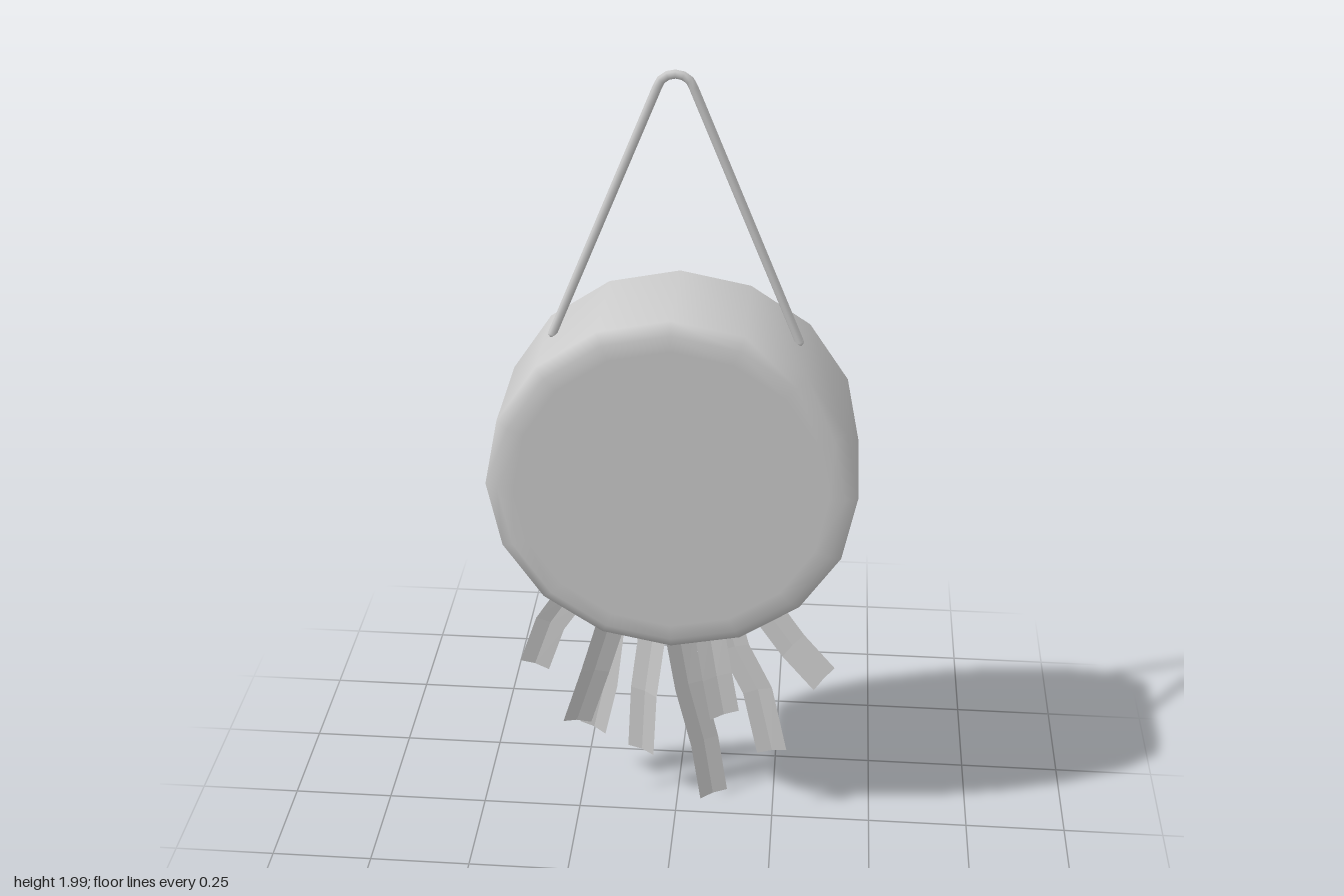
import * as THREE from 'three';

const material = new THREE.MeshStandardMaterial({ color: 0xcccccc });
const ribbonMaterial = new THREE.MeshStandardMaterial({
  color: 0xcccccc, flatShading: true, side: THREE.DoubleSide,
});

// Centre line from top to tip [x, y, z], and how far the +x edge leans in z
const RIBBONS = [
  { name: 'streamer1', lean: 0, path: [[-0.2, 0.74, -0.04], [-0.265, 0.63, -0.05], [-0.32, 0.54, -0.06], [-0.365, 0.405, -0.07]] },
  { name: 'streamer2', lean: 0.4, path: [[-0.13, 0.7, -0.06], [-0.17, 0.52, -0.08], [-0.19, 0.35, -0.09], [-0.225, 0.185, -0.11]] },
  { name: 'streamer3', lean: -0.4, path: [[-0.11, 0.7, -0.01], [-0.16, 0.59, 0.01], [-0.2, 0.45, 0.01], [-0.25, 0.285, 0]] },
  { name: 'streamer4', lean: 0.45, path: [[-0.02, 0.68, -0.04], [-0.06, 0.55, -0.05], [-0.085, 0.35, -0.05], [-0.095, 0.158, -0.06]] },
  { name: 'streamer5', lean: -0.45, path: [[0.01, 0.67, -0.05], [0.005, 0.53, -0.06], [0.03, 0.37, -0.06], [0.07, 0.19, -0.07], [0.095, 0.018, -0.07]] },
  { name: 'streamer6', lean: -0.35, path: [[0.04, 0.68, -0.03], [0.085, 0.56, -0.01], [0.105, 0.45, 0.01], [0.125, 0.345, 0.025]] },
  { name: 'streamer7', lean: 0.05, path: [[0.1, 0.69, -0.03], [0.145, 0.52, -0.02], [0.205, 0.4, -0.01], [0.245, 0.22, 0]] },
  { name: 'streamer8', lean: -0.5, path: [[0.17, 0.72, -0.06], [0.225, 0.61, -0.05], [0.29, 0.52, -0.04], [0.37, 0.43, -0.03]] },
];

// Creased strip with three points across each row
function ribbonGeometry(path, lean, width = 0.076) {
  const points = path.map((p) => new THREE.Vector3(...p));
  const positions = [], index = [];
  points.forEach((p, i) => {
    const along = points[Math.min(i + 1, points.length - 1)].clone().sub(points[Math.max(i - 1, 0)]);
    const across = new THREE.Vector3(-along.y, along.x, 0).normalize();
    across.multiplyScalar(Math.cos(lean)).add(new THREE.Vector3(0, 0, Math.sin(lean)));
    const bulge = new THREE.Vector3().crossVectors(across, along).normalize().multiplyScalar(0.006);
    for (const side of [-0.5, 0, 0.5]) {
      const v = p.clone().addScaledVector(across, side * width);
      if (side === 0) v.add(bulge);
      positions.push(v.x, v.y, v.z);
    }
    if (i === 0) return;
    for (const c of [0, 1]) {
      const a = (i - 1) * 3 + c, b = i * 3 + c;
      index.push(a, b, a + 1, b, b + 1, a + 1);
    }
  });
  const geometry = new THREE.BufferGeometry();
  geometry.setAttribute('position', new THREE.Float32BufferAttribute(positions, 3));
  geometry.setIndex(index);
  geometry.computeVertexNormals();
  return geometry;
}

export function createModel() {
  const model = new THREE.Group();

  // Round drum body with bevelled rims, its axis along z
  const profile = [[0, -0.152], [0.36, -0.152], [0.398, -0.152], [0.427, -0.136],
    [0.427, 0.136], [0.398, 0.152], [0.36, 0.152], [0, 0.152]].map((p) => new THREE.Vector2(...p));
  const drum = new THREE.Mesh(new THREE.LatheGeometry(profile, 16), material);
  drum.name = 'drum';
  drum.rotation.x = Math.PI / 2;
  drum.position.y = 1.053;
  model.add(drum);

  // Hanging cord: two straight legs joined by a small bend
  const v = (x, y) => new THREE.Vector3(x, y, 0);
  const cordPath = new THREE.CurvePath();
  cordPath.add(new THREE.LineCurve3(v(-0.28, 1.375), v(-0.037, 1.965)));
  cordPath.add(new THREE.CubicBezierCurve3(v(-0.037, 1.965), v(-0.026, 1.998), v(0.026, 1.998), v(0.037, 1.965)));
  cordPath.add(new THREE.LineCurve3(v(0.037, 1.965), v(0.28, 1.375)));
  const cord = new THREE.Mesh(new THREE.TubeGeometry(cordPath, 80, 0.01, 8), material);
  cord.name = 'hangingCord';
  model.add(cord);

  // Rounded cord ends
  for (const side of [-1, 1]) {
    const end = new THREE.Mesh(new THREE.SphereGeometry(0.01, 8, 6), material);
    end.name = side > 0 ? 'leftCordEnd' : 'rightCordEnd';
    end.position.set(side * 0.28, 1.375, 0);
    model.add(end);
  }

  // Paper streamers under the drum
  const streamers = new THREE.Group();
  streamers.name = 'streamers';
  for (const { name, path, lean } of RIBBONS) {
    const ribbon = new THREE.Mesh(ribbonGeometry(path, lean), ribbonMaterial);
    ribbon.name = name;
    streamers.add(ribbon);
  }
  model.add(streamers);
  return model;
}
